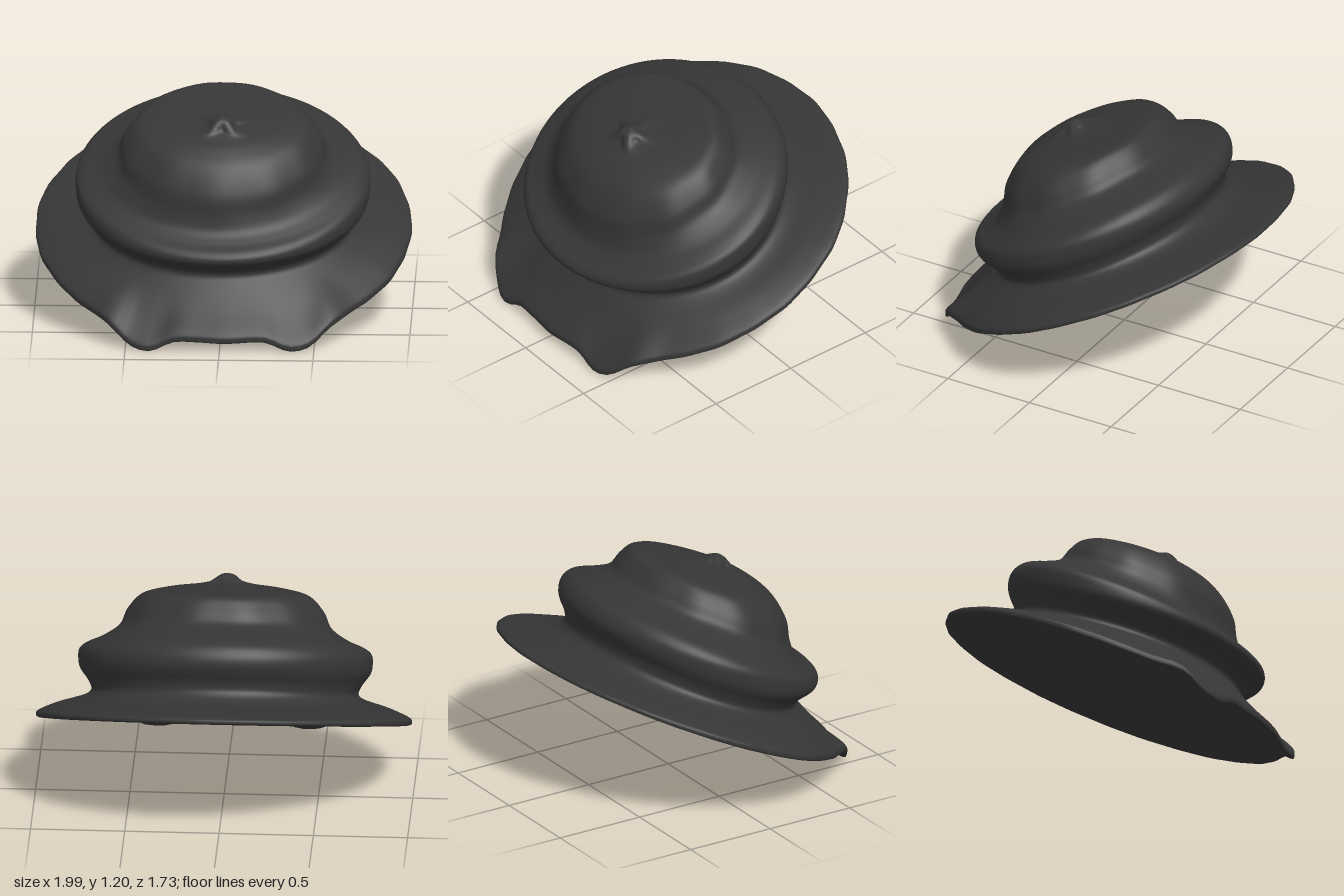
import * as THREE from 'three';

const SIDES = 128, STEPS = 6;

// Tilted oval cross-sections, from the middle of the underside out over the brim and up to the nub:
// [front z, front y, back z, back y, half width]
const RINGS = [
  [0.02, 0.47, 0.02, 0.47, 0],
  [0.24, 0.34, -0.22, 0.53, 0.29],
  [0.5, 0.225, -0.5, 0.65, 0.6],
  [0.74, 0.105, -0.76, 0.755, 0.9],
  [0.845, 0.05, -0.85, 0.8, 0.98],
  [0.862, 0.07, -0.868, 0.815, 0.995],
  [0.845, 0.105, -0.845, 0.832, 0.98],
  [0.76, 0.2, -0.72, 0.81, 0.89],
  [0.685, 0.295, -0.57, 0.79, 0.775],
  [0.645, 0.36, -0.5, 0.82, 0.71],
  [0.675, 0.405, -0.49, 0.875, 0.725],
  [0.755, 0.445, -0.512, 0.94, 0.768],
  [0.772, 0.48, -0.52, 0.99, 0.78],
  [0.75, 0.515, -0.5, 1.04, 0.773],
  [0.7, 0.55, -0.45, 1.08, 0.728],
  [0.652, 0.6, -0.36, 1.09, 0.645],
  [0.633, 0.68, -0.25, 1.1, 0.56],
  [0.62, 0.79, -0.19, 1.155, 0.52],
  [0.56, 0.92, -0.13, 1.203, 0.445],
  [0.48, 1.0, -0.06, 1.192, 0.335],
  [0.41, 1.045, 0.08, 1.155, 0.19],
  [0.375, 1.075, 0.2, 1.13, 0.095],
  [0.345, 1.125, 0.255, 1.135, 0.05],
  [0.3, 1.15, 0.3, 1.15, 0],
];

// smooth curve through the front or back points of all rings, with the half width as third value
const ringCurve = (z, y) => new THREE.CatmullRomCurve3(
  RINGS.map(r => new THREE.Vector3(r[z], r[y], r[4])), false, 'catmullrom', 0.5);

// soft hill of height 1
const bump = (x, center, width, power = 2) => Math.exp(-(Math.abs((x - center) / width) ** power));

function hatGeometry() {
  const front = ringCurve(0, 1), back = ringCurve(2, 3);
  const rows = (RINGS.length - 1) * STEPS;
  const positions = [], indices = [];

  for (let i = 0; i <= rows; i++) {
    const u = i / rows, ring = u * (RINGS.length - 1);
    const f = front.getPoint(u), b = back.getPoint(u), width = Math.max(f.z, 0);
    const brim = bump(ring, 5, 2.1, 4), neck = bump(ring, 10, 2.3, 4);
    const crown = bump(ring, 17, 1.3), nub = bump(ring, 21, 0.8), hollow = bump(ring, 0.4, 0.8);

    for (let j = 0; j < SIDES; j++) {
      const t = j / SIDES * Math.PI * 2, s = Math.sin(t), c = Math.cos(t);
      // gentle felt unevenness, star-shaped nub and rough hollow
      const scale = 1 + brim * 0.002 * (Math.sin(13 * t) + Math.sin(29 * t + 1))
        + crown * 0.008 * Math.sin(11 * t + 2) + nub * 0.18 * Math.cos(5 * t + Math.PI)
        + hollow * 0.15 * Math.sin(3 * t + 1);
      // two drooping, rounded lobes at the front of the brim; the neck sags at the sides
      const a = Math.abs(t > Math.PI ? t - Math.PI * 2 : t);
      positions.push(
        width * s * scale + 0.12 * hollow,
        (f.y + b.y) / 2 + (f.y - b.y) / 2 * c * scale - 0.035 * neck * s * s
          - 0.08 * brim * bump(a, 0.44, 0.15, 3),
        (f.x + b.x) / 2 + (f.x - b.x) / 2 * c * scale + 0.06 * brim * bump(a, 0.52, 0.21, 3));

      if (i < rows) {
        const k = (j + 1) % SIDES, p = i * SIDES, q = p + SIDES;
        indices.push(p + j, p + k, q + k, p + j, q + k, q + j);
      }
    }
  }
  const geometry = new THREE.BufferGeometry();
  geometry.setAttribute('position', new THREE.Float32BufferAttribute(positions, 3));
  geometry.setIndex(indices);
  geometry.computeVertexNormals();
  return geometry;
}

export function createModel() {
  const felt = new THREE.MeshStandardMaterial({ color: 0x363636 });
  felt.name = 'charcoal felt';

  // brim, band and crown are one continuous skin
  const hat = new THREE.Mesh(hatGeometry(), felt);
  hat.name = 'hat';

  const group = new THREE.Group();
  group.name = 'tiltedHat';
  group.add(hat);
  return group;
}
